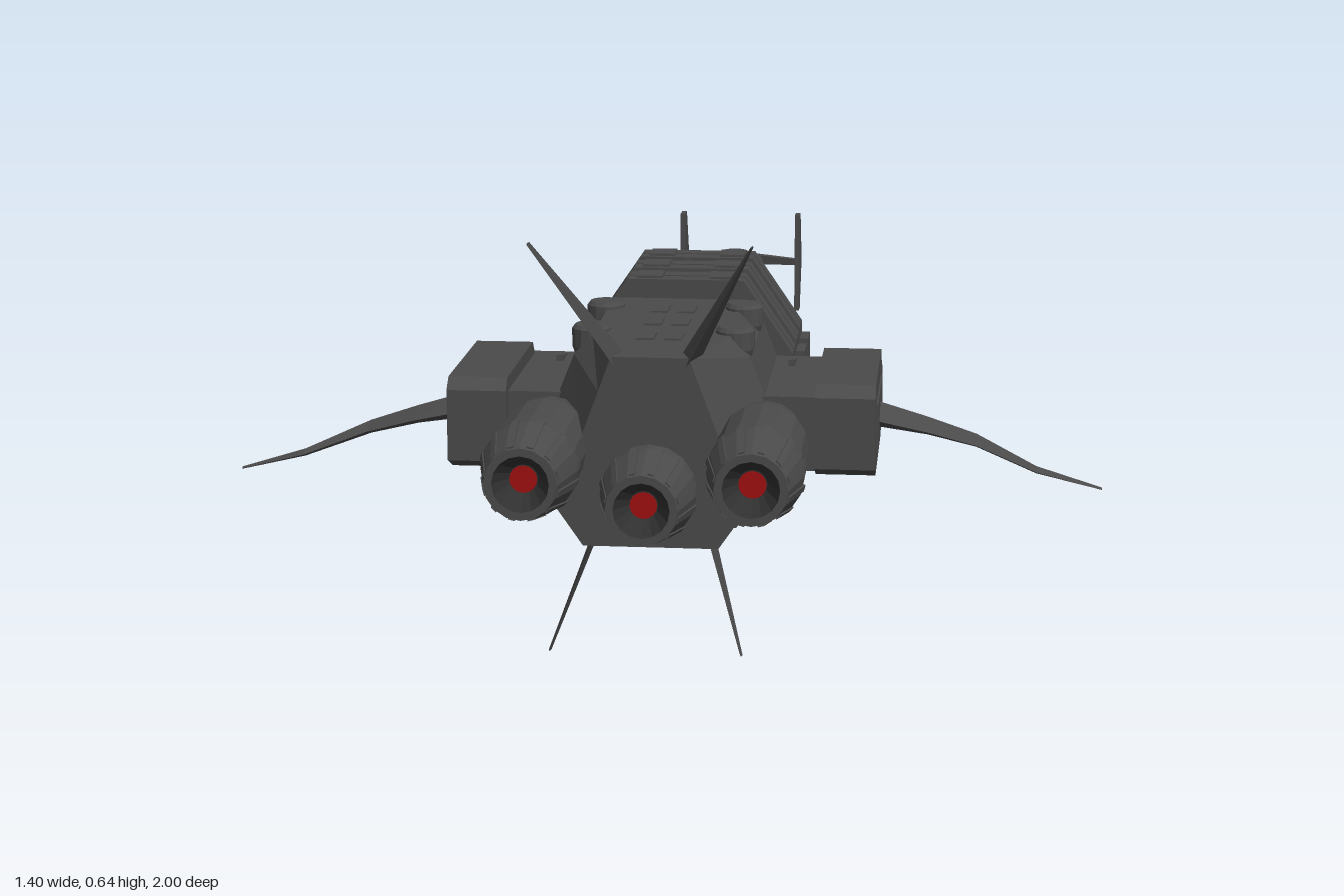
import * as THREE from 'three';

const hullMat = new THREE.MeshStandardMaterial({ color: 0x4a4a4a, flatShading: true });
const darkMat = new THREE.MeshStandardMaterial({ color: 0x303030, flatShading: true });
const glowMat = new THREE.MeshStandardMaterial({ color: 0xa01010 });

// Skin consecutive rings of [x, y, z] corners (counter-clockwise seen from the last ring) and close both ends
function loft(rings) {
  const pos = [], n = rings[0].length;
  for (let r = 0; r < rings.length - 1; r++) {
    const a = rings[r], b = rings[r + 1];
    for (let i = 0; i < n; i++) {
      const j = (i + 1) % n;
      pos.push(...a[i], ...a[j], ...b[j], ...a[i], ...b[j], ...b[i]);
    }
  }
  const first = rings[0], last = rings[rings.length - 1];
  for (let i = 1; i < n - 1; i++) {
    pos.push(...last[0], ...last[i], ...last[i + 1]);
    pos.push(...first[0], ...first[i + 1], ...first[i]);
  }
  const g = new THREE.BufferGeometry();
  g.setAttribute('position', new THREE.Float32BufferAttribute(pos, 3));
  g.computeVertexNormals();
  return g;
}

// Symmetric cross-section: half profile from bottom to top, mirrored, at depth z
function section(half, z) {
  const right = half.map(([x, y]) => [x, y, z]);
  const left = half.map(([x, y]) => [-x, y, z]).reverse();
  return [...right, ...left];
}

// Side profile of [z, y] points given thickness from x0 to x1
function plate(points, x0, x1) {
  const shape = new THREE.Shape(points.map(([z, y]) => new THREE.Vector2(z, y)));
  const g = new THREE.ExtrudeGeometry(shape, { depth: x1 - x0, bevelEnabled: false });
  return g.rotateY(-Math.PI / 2).translate(x1, 0, 0);
}

function box(x0, x1, y0, y1, z0, z1) {
  return new THREE.BoxGeometry(x1 - x0, y1 - y0, z1 - z0)
    .translate((x0 + x1) / 2, (y0 + y1) / 2, (z0 + z1) / 2);
}

// Turned shape around y from [radius, height] points
function turned(points, sides) {
  return new THREE.LatheGeometry(points.map(([r, h]) => new THREE.Vector2(r, h)), sides);
}

// Mirror across x = 0, reversing the corner order
function mirrored(geometry) {
  const g = geometry.index ? geometry.toNonIndexed() : geometry.clone();
  g.scale(-1, 1, 1);
  const p = g.attributes.position;
  for (let i = 0; i < p.count; i += 3) {
    const b = new THREE.Vector3().fromBufferAttribute(p, i + 1);
    const c = new THREE.Vector3().fromBufferAttribute(p, i + 2);
    p.setXYZ(i + 1, c.x, c.y, c.z);
    p.setXYZ(i + 2, b.x, b.y, b.z);
  }
  g.computeVertexNormals();
  return g;
}

export function createModel() {
  const model = new THREE.Group();
  model.name = 'spaceship';
  const add = (name, geometry, material = hullMat) => {
    const m = new THREE.Mesh(geometry, material);
    m.name = name;
    model.add(m);
  };
  const pair = (name, geometry, material) => {
    add(name + 'Left', geometry, material);
    add(name + 'Right', mirrored(geometry), material);
  };

  // Main hull, pinched between the engines at the rear
  const hullHalf = [[0.105, 0.145], [0.18, 0.23], [0.18, 0.31], [0.14, 0.41], [0.11, 0.445]];
  const rearHalf = [[0.105, 0.145], [0.15, 0.21], [0.11, 0.31], [0.08, 0.39], [0.06, 0.445]];
  add('hull', loft([section(hullHalf, 0.345), section(hullHalf, 0.63), section(rearHalf, 0.8)]));
  for (const z of [0.44, 0.54, 0.65]) pair('hullPanel', box(0.008, 0.036, 0.44, 0.448, z - 0.025, z + 0.025));

  // Ribbed strap under the belly
  for (const z of [0.425, 0.467, 0.509]) {
    add('bellyStrap', loft([z, z + 0.034].map(d => section([[0.112, 0.105], [0.192, 0.205], [0.17, 0.23]], d))));
  }
  add('bellyPlate', loft([0.42, 0.545].map(z => section([[0.105, 0.112], [0.18, 0.205], [0.17, 0.22]], z))));

  // Neck with three double rings
  add('neck', loft([0.25, 0.35].map(z =>
    section([[0.07, 0.205], [0.1, 0.25], [0.1, 0.36], [0.07, 0.42]], z))));
  add('ringCore', loft([-0.02, 0.255].map(z =>
    section([[0.08, 0.205], [0.165, 0.26], [0.165, 0.33], [0.09, 0.42]], z))));
  for (const z0 of [-0.02, 0.083, 0.187]) {
    for (const z of [z0, z0 + 0.04]) {
      add('neckRing', loft([z, z + 0.031].map(d =>
        section([[0.1, 0.16], [0.185, 0.235], [0.185, 0.335], [0.1, 0.46]], d))));
    }
    add('neckRingWeb', loft([z0 + 0.005, z0 + 0.066].map(z =>
      section([[0.095, 0.17], [0.179, 0.24], [0.179, 0.333], [0.096, 0.45]], z))));
    pair('neckRingClamp', box(0.17, 0.2, 0.265, 0.315, z0 + 0.005, z0 + 0.066));
    pair('neckRingCap', box(0.04, 0.085, 0.44, 0.464, z0 + 0.01, z0 + 0.061));
  }

  // Long tapering boom with lower side strakes and keel rails
  add('boom', loft([
    section([[0.012, 0.25], [0.022, 0.26], [0.018, 0.275]], -0.995),
    section([[0.03, 0.235], [0.05, 0.25], [0.035, 0.275]], -0.92),
    section([[0.09, 0.225], [0.122, 0.27], [0.09, 0.4]], 0),
  ]));
  pair('boomStrake', loft([
    [[0.04, 0.222, -0.88], [0.068, 0.235, -0.88], [0.068, 0.25, -0.88], [0.04, 0.26, -0.88]],
    [[0.07, 0.205, 0], [0.128, 0.23, 0], [0.128, 0.255, 0], [0.08, 0.275, 0]],
  ]));
  pair('keelRail', loft([
    [[0.008, 0.222, -0.87], [0.028, 0.222, -0.87], [0.028, 0.25, -0.87], [0.008, 0.25, -0.87]],
    [[0.015, 0.203, 0], [0.05, 0.203, 0], [0.05, 0.25, 0], [0.015, 0.25, 0]],
  ]));

  // Turret domes: short drums on tapered stems
  const dome = (x, y, z) => turned([[0, -0.075], [0.017, -0.075], [0.031, -0.035], [0.031, -0.006], [0.026, 0], [0, 0]], 14)
    .translate(x, y, z);
  for (const [x, z] of [[0.075, -0.125], [0.065, -0.29], [0.055, -0.455], [0.04, -0.62]])
    pair('boomTurret', dome(x, 0.414 + z * 0.125, z));
  add('boomTurretRear', dome(0, 0.317, -0.79));
  for (const z of [0.42, 0.605]) pair('hullTurret', dome(0.115, 0.455, z));

  // Tail fins on swept arms
  pair('tailArm', loft([
    [[0.01, 0.275, -1], [0.01, 0.275, -0.97], [0.01, 0.255, -0.97], [0.01, 0.255, -1]],
    [[0.03, 0.275, -0.99], [0.03, 0.275, -0.97], [0.03, 0.255, -0.97], [0.03, 0.255, -0.99]],
    [[0.12, 0.272, -0.955], [0.12, 0.272, -0.94], [0.12, 0.26, -0.94], [0.12, 0.26, -0.955]],
  ]));
  pair('tailFin', plate([[-0.92, 0.165], [-0.955, 0.165], [-1, 0.24], [-1, 0.285], [-0.96, 0.37], [-0.925, 0.37]], 0.117, 0.127));

  // Side pods with forward prongs
  pair('podBridge', box(0.14, 0.25, 0.23, 0.35, 0.345, 0.64));
  pair('pod', plate([[0.62, 0.22], [0.665, 0.24], [0.665, 0.355], [0.645, 0.373], [0.38, 0.373], [0.345, 0.335],
    [0.345, 0.245], [0.37, 0.22]], 0.245, 0.34));
  pair('podBand', box(0.238, 0.343, 0.255, 0.335, 0.4, 0.62));
  for (const x of [0.188, 0.33])
    pair('podProng', plate([[0.42, 0.235], [0.42, 0.36], [0.36, 0.35], [0.305, 0.295], [0.305, 0.27], [0.36, 0.235]], x, x + 0.011));

  // Drooping swept wings: [x, leading z, trailing z, mid y, half thickness]
  const wing = [[0.33, 0.44, 0.545, 0.292, 0.022], [0.42, 0.445, 0.54, 0.272, 0.015],
    [0.5, 0.455, 0.53, 0.249, 0.011], [0.595, 0.545, 0.582, 0.221, 0.006], [0.7, 0.56, 0.574, 0.193, 0.002]];
  pair('wing', loft(wing.map(([x, f, b, y, t]) => {
    const m = (f + b) / 2;
    return [[x, y, b], [x, y - t, m], [x, y, f], [x, y + t, m]];
  })));

  // Upper and lower blade fins, each lofted upwards between [x, y, front z, back z, half thickness]
  const blade = (low, high) => loft([low, high].map(([x, y, a, b, t]) =>
    [[x - t, y, (a + b) / 2], [x, y, b], [x + t, y, (a + b) / 2], [x, y, a]]));
  pair('upperFin', blade([0.055, 0.43, 0.69, 0.8, 0.017], [0.165, 0.642, 0.915, 0.94, 0.002]));
  pair('lowerFin', blade([0.147, 0, 0.865, 0.882, 0.002], [0.092, 0.15, 0.72, 0.8, 0.005]));

  // Engines: nacelle, ribbed nozzle and glowing core
  const engine = (x, y, end, length) => {
    const g = new THREE.Group();
    g.name = 'engine';
    g.position.set(x, y, end);
    const part = (name, geometry, material = hullMat) => {
      const m = new THREE.Mesh(geometry, material);
      m.name = name;
      g.add(m);
    };
    const turnedZ = points => turned(points, 16).rotateX(Math.PI / 2);
    part('nacelle', turnedZ([[0, -length], [0.035, -length], [0.058, -length + 0.06], [0.071, -length + 0.13],
      [0.071, -0.13], [0.06, -0.12], [0, -0.12]]));
    part('nozzle', turnedZ([[0, -0.125], [0.06, -0.125], [0.074, -0.115], [0.074, -0.09], [0.055, 0], [0.043, 0]]));
    part('nozzleThroat', turnedZ([[0.043, 0], [0.022, -0.035], [0, -0.035]]), darkMat);
    part('glow', new THREE.CircleGeometry(0.021, 16).translate(0, 0, -0.032), glowMat);
    for (let i = 0; i < 12; i++) {
      const rib = new THREE.BoxGeometry(0.01, 0.006, 0.09);
      part('nozzleRib', rib.rotateX(0.208).translate(0, 0.064, -0.05).rotateZ((i + 0.5) * Math.PI / 6));
    }
    model.add(g);
  };
  engine(0.17, 0.295, 1, 0.38);
  engine(-0.17, 0.295, 1, 0.38);
  engine(0, 0.238, 0.925, 0.3);

  return model;
}
